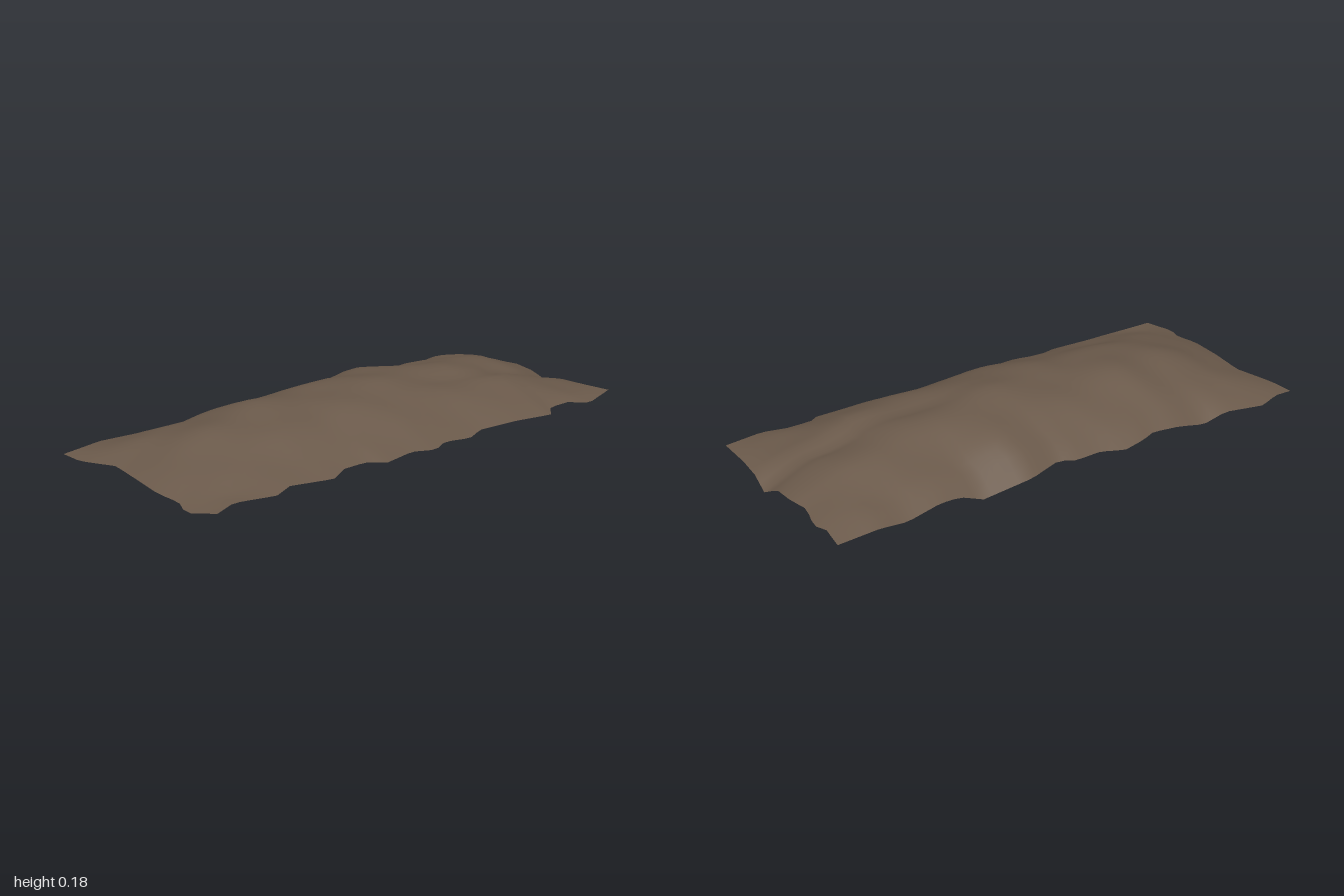
import * as THREE from 'three';

// Ragged outline, each edge as [position along the edge, offset across it, height]
const BACK = [[-.98, -.40, .03], [-.9, -.405, .035], [-.81, -.435, .03], [-.65, -.405, .035], [-.55, -.403, .012],
  [-.43, -.40, .035], [-.32, -.39, .04], [-.26, -.41, .035], [-.17, -.42, .025], [-.08, -.395, .035], [.03, -.40, .035],
  [.09, -.375, .04], [.23, -.42, .035], [.42, -.405, .006], [.5, -.385, .03], [.58, -.39, .035], [.72, -.41, .02],
  [.83, -.42, .035], [.98, -.41, .02]];
const FRONT = [[-.95, .42, .035], [-.87, .40, .045], [-.71, .42, .035], [-.64, .40, .045], [-.47, .425, .035],
  [-.4, .395, .045], [-.3, .395, .045], [-.23, .425, .035], [-.1, .41, .04], [0, .43, .03], [.06, .41, .04],
  [.18, .42, .03], [.25, .40, .04], [.42, .415, .04], [.6, .43, .03], [.64, .39, .04], [.74, .39, .04],
  [.82, .43, .03], [.98, .39, .04]];
const LEFT = [[-.40, -.98, .03], [-.3, -.98, .03], [-.15, -.935, .04], [0, -.96, .04], [.15, -.98, .035],
  [.25, -.97, .03], [.32, -1, .022], [.42, -.95, .035]];
const RIGHT = [[-.41, .98, .02], [-.33, .975, .035], [-.28, .995, .035], [-.18, .965, .04], [-.1, .985, .045],
  [0, .98, .035], [.07, .995, 0], [.15, .988, .03], [.25, .98, .035], [.39, .98, .04]];

// Point on an edge at fraction t
function sample(edge, t) {
  const first = edge[0][0], last = edge[edge.length - 1][0];
  const s = first + (last - first) * t;
  let i = 0;
  while (i < edge.length - 2 && edge[i + 1][0] < s) i++;
  const a = edge[i], b = edge[i + 1], k = (s - a[0]) / (b[0] - a[0]);
  return [s, a[1] + (b[1] - a[1]) * k, a[2] + (b[2] - a[2]) * k];
}

const bump = (x, z, cx, cz, rx, rz, h) => h * Math.exp(-(((x - cx) / rx) ** 2) - ((z - cz) / rz) ** 2);

// Arched mound with gentle lumps; zero on the rim
function rise(u, v, x, z) {
  const a = Math.abs(2 * u - 1), b = Math.abs(2 * v - 1);
  const dome = (1 - a ** 2.7) * (1 - b ** 2.2);
  const rim = Math.min(1, 5 * (1 - a)) * Math.min(1, 3 * (1 - b));
  const lumps = .004 * Math.sin(9 * x + 5 * z + 1) + .004 * Math.sin(17 * x - 13 * z) + .003 * Math.sin(23 * z + 6 * x)
    + bump(x, z, -.42, -.02, .12, .16, .012) + bump(x, z, -.27, .1, .08, .12, -.012)
    + bump(x, z, -.72, .02, .12, .2, .008) + bump(x, z, -.5, .27, .15, .07, -.01);
  return .131 * dome + rim * lumps;
}

// Sheet stretched between the four edges
function moundGeometry(cols, rows) {
  const geo = new THREE.PlaneGeometry(2, 1, cols, rows);
  const pos = geo.attributes.position;
  const fade = t => (1 - t) ** 3;
  const h = p => p[2] - .036;
  for (let j = 0; j <= rows; j++) for (let i = 0; i <= cols; i++) {
    const u = i / cols, v = j / rows;
    const B = sample(BACK, u), F = sample(FRONT, u), L = sample(LEFT, v), R = sample(RIGHT, v);
    const mix = (a, b, t) => a + (b - a) * t;
    const corner = k => mix(mix(BACK[0][k], BACK.at(-1)[k], u), mix(FRONT[0][k], FRONT.at(-1)[k], u), v);
    const x = mix(B[0], F[0], v) + mix(L[1], R[1], u) - corner(0);
    const z = mix(B[1], F[1], v) + mix(L[0], R[0], u) - corner(1);
    const wB = fade(v), wF = fade(1 - v), wL = fade(u), wR = fade(1 - u);
    const edgeHeight = wB * h(B) + wF * h(F) + wL * h(L) + wR * h(R)
      - wB * (wL * h(BACK[0]) + wR * h(BACK.at(-1))) - wF * (wL * h(FRONT[0]) + wR * h(FRONT.at(-1)));
    pos.setXYZ(j * (cols + 1) + i, x, .036 + edgeHeight + rise(u, v, x, z), z);
  }
  geo.computeVertexNormals();
  return geo;
}

export function createModel() {
  const group = new THREE.Group();
  group.name = 'earthMound';
  const soil = new THREE.MeshStandardMaterial({ color: 0x6b5a4b, side: THREE.DoubleSide });
  soil.name = 'soil brown';
  const mound = new THREE.Mesh(moundGeometry(56, 20), soil);
  mound.name = 'moundSurface';
  group.add(mound);
  return group;
}
